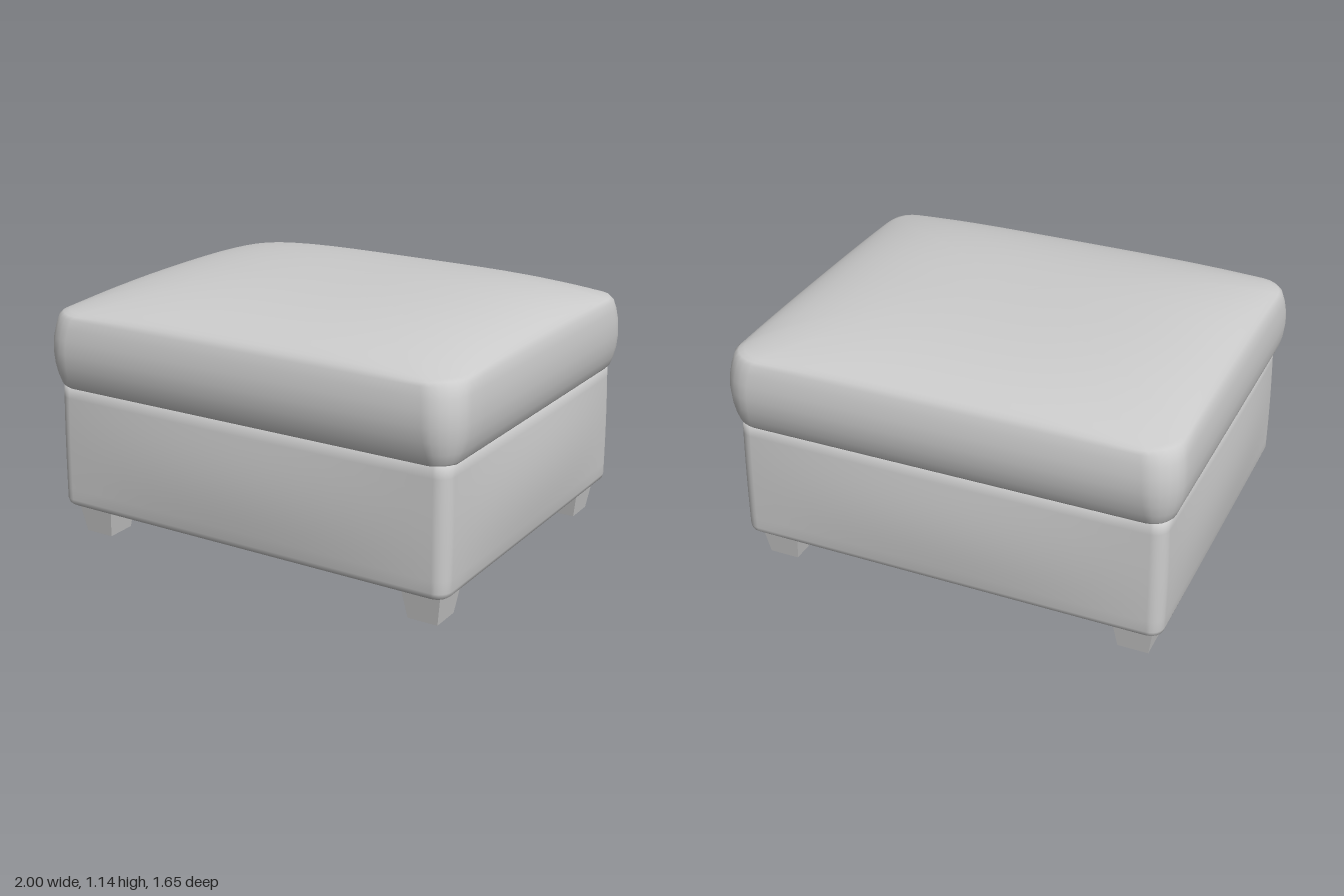
import * as THREE from 'three';

const material = new THREE.MeshStandardMaterial({ color: 0xcccccc, roughness: 0.8 });

// Points around a rounded rectangle; every ring has the same count
function ring(hx, hz, r, arc = 6, side = 12) {
  const pts = [];
  const corners = [[1, 1], [-1, 1], [-1, -1], [1, -1]];
  corners.forEach(([sx, sz], q) => {
    for (let i = 0; i <= arc; i++) {
      const a = (q + i / arc) * Math.PI / 2;
      pts.push([sx * (hx - r) + r * Math.cos(a), sz * (hz - r) + r * Math.sin(a)]);
    }
    // Straight run towards the next corner
    const [nx, nz] = corners[(q + 1) % 4];
    const a = (q + 1) * Math.PI / 2;
    const ox = r * Math.cos(a), oz = r * Math.sin(a);
    for (let i = 1; i < side; i++) {
      const t = i / side;
      pts.push([
        THREE.MathUtils.lerp(sx, nx, t) * (hx - r) + ox,
        THREE.MathUtils.lerp(sz, nz, t) * (hz - r) + oz,
      ]);
    }
  });
  return pts;
}

// Skin over rows [y, halfX, halfZ, cornerRadius] from bottom to top, shaped by a rule
function loft(rows, shape) {
  const positions = [], index = [];
  let n = 0;
  rows.forEach(([y, hx, hz, r]) => {
    const pts = ring(hx, hz, r);
    n = pts.length;
    pts.forEach(([x, z]) => positions.push(...shape(x, y, z)));
  });
  for (let j = 0; j < rows.length - 1; j++) {
    for (let i = 0; i < n; i++) {
      const a = j * n + i, b = j * n + (i + 1) % n;
      index.push(a, a + n, b, b, a + n, b + n);
    }
  }
  const g = new THREE.BufferGeometry();
  g.setAttribute('position', new THREE.Float32BufferAttribute(positions, 3));
  g.setIndex(index);
  g.computeVertexNormals();
  return g;
}

// Upholstered box: flat underside, panels that swell in the middle
function baseGeometry() {
  const rows = [
    [0.135, 0, 0, 0], [0.135, 0.88, 0.71, 0.03], [0.135, 0.92, 0.755, 0.04],
    [0.14, 0.937, 0.772, 0.05], [0.15, 0.95, 0.783, 0.055], [0.17, 0.956, 0.788, 0.06],
  ];
  for (let i = 1; i <= 10; i++) rows.push([0.17 + 0.052 * i, 0.956 - 0.0006 * i, 0.788 - 0.0008 * i, 0.06]);
  rows.push([0.71, 0.9, 0.73, 0.05]);
  return loft(rows, (x, y, z) => {
    const rise = THREE.MathUtils.clamp((y - 0.16) / 0.53, 0, 1);
    const swell = Math.sin(rise * Math.PI);
    return [
      x * (1 + 0.026 * swell * Math.max(0, 1 - (z / 0.8) ** 2)),
      y,
      z * (1 + 0.027 * swell * Math.max(0, 1 - (x / 0.96) ** 2)),
    ];
  });
}

// Overhanging cushion with a domed top
function cushionGeometry() {
  const edgeX = 0.98, edgeZ = 0.802, edgeY = 1.0;
  const rows = [
    [0.68, 0.87, 0.7, 0.06], [0.678, 0.93, 0.76, 0.07], [0.684, 0.95, 0.779, 0.08],
    [0.7, 0.965, 0.79, 0.09], [0.74, 0.981, 0.806, 0.11], [0.79, 0.994, 0.82, 0.13],
    [0.85, 1, 0.827, 0.14], [0.91, 0.997, 0.823, 0.14], [0.96, 0.99, 0.813, 0.14],
    [edgeY, edgeX, edgeZ, 0.14],
  ];
  for (const s of [0.985, 0.965, 0.94, 0.91, 0.87, 0.82, 0.75, 0.66, 0.55, 0.42, 0.28, 0.14, 0]) {
    rows.push([edgeY + 0.001, edgeX * s, edgeZ * s, 0.14 * s]);
  }
  return loft(rows, (x, y, z) => {
    if (y <= edgeY) return [x, y, z];
    const crownX = Math.max(0, 1 - Math.abs(x / edgeX) ** 4) ** 0.65;
    const crownZ = Math.max(0, 1 - Math.abs(z / edgeZ) ** 2.5) ** 0.6;
    return [x, edgeY + 0.141 * crownX * crownZ, z];
  });
}

// Square foot, narrower at the floor
function footGeometry() {
  const g = new THREE.CylinderGeometry(0.09 * Math.SQRT2, 0.067 * Math.SQRT2, 0.145, 4).toNonIndexed();
  g.rotateY(Math.PI / 4);
  g.translate(0, 0.0725, 0);
  g.computeVertexNormals();
  return g;
}

export function createModel() {
  const model = new THREE.Group();
  model.name = 'ottoman';
  const add = (name, geometry) => {
    const mesh = new THREE.Mesh(geometry, material);
    mesh.name = name;
    model.add(mesh);
    return mesh;
  };

  add('base', baseGeometry());
  add('cushion', cushionGeometry());

  const foot = footGeometry();
  for (const [sideName, sx] of [['Left', 1], ['Right', -1]]) {
    for (const [endName, sz] of [['front', 1], ['back', -1]]) {
      add(`${endName}${sideName}Foot`, foot).position.set(0.82 * sx, 0, 0.645 * sz);
    }
  }
  return model;
}
